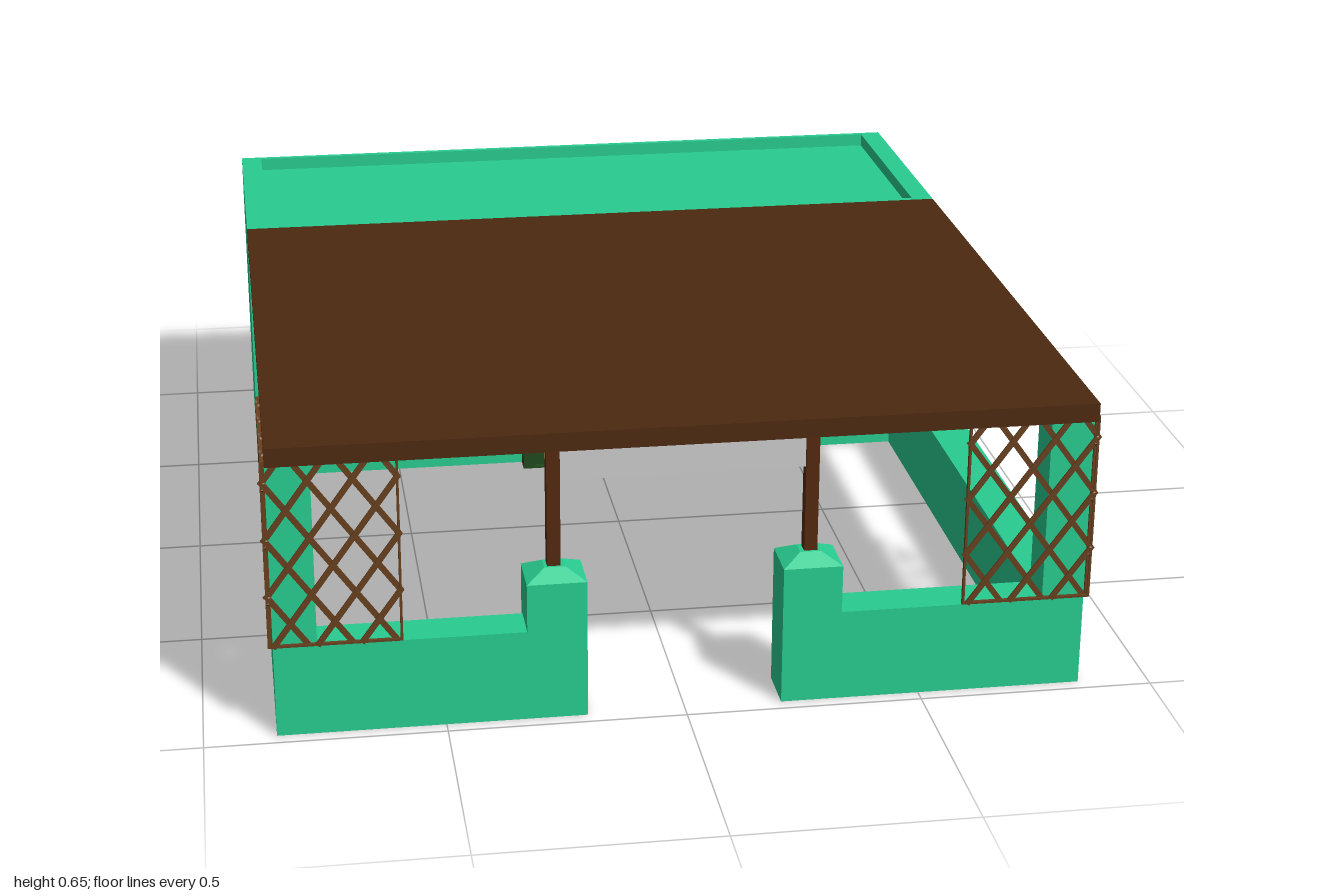
import * as THREE from 'three';

const mat = (color) => new THREE.MeshStandardMaterial({ color });
const M = {
  wall: mat(0x28cc90), roof: mat(0x4c290f), lattice: mat(0x68401f), post: mat(0x54290f),
  frame: mat(0x20491c), slat: mat(0x2a5722), dark: mat(0x10260e), glass: mat(0xb9c94c), grey: mat(0xcccccc),
};

// Box given by its minimum and maximum corners
function box(parent, name, m, [x0, y0, z0], [x1, y1, z1]) {
  const mesh = new THREE.Mesh(new THREE.BoxGeometry(x1 - x0, y1 - y0, z1 - z0), m);
  mesh.position.set((x0 + x1) / 2, (y0 + y1) / 2, (z0 + z1) / 2);
  mesh.name = name;
  parent.add(mesh);
  return mesh;
}

function group(parent, name) {
  const g = new THREE.Group();
  g.name = name;
  parent.add(g);
  return g;
}

// Flat frame in the xy plane with rectangular openings [x0, y0, x1, y1]
function pierced(parent, name, m, [x0, y0, x1, y1], openings, z, depth) {
  const rect = (T, a, b, c, d) => {
    const s = new T();
    s.moveTo(a, b).lineTo(c, b).lineTo(c, d).lineTo(a, d).closePath();
    return s;
  };
  const shape = rect(THREE.Shape, x0, y0, x1, y1);
  shape.holes = openings.map((o) => rect(THREE.Path, ...o));
  const mesh = new THREE.Mesh(new THREE.ExtrudeGeometry(shape, { depth, bevelEnabled: false }), m);
  mesh.position.z = z;
  mesh.name = name;
  parent.add(mesh);
}

// Trellis panel of crossed diagonal strips clipped to w by h, from the origin
function lattice(parent, name, w, h) {
  const g = group(parent, name);
  const k = 0.72, step = 0.09, t = 0.012, d = 0.008;
  for (const dir of [1, -1]) {
    for (let c = -k * h + step * 0.4; c < w; c += step) {
      const ya = Math.max(0, -c / k), yb = Math.min(h, (w - c) / k);
      if (yb - ya < 0.02) continue;
      const mid = c + (k * (ya + yb)) / 2;
      const len = (yb - ya) * Math.hypot(1, k);
      const strip = new THREE.Mesh(new THREE.BoxGeometry(t, len, d / 2), M.lattice);
      strip.position.set(dir > 0 ? mid : w - mid, (ya + yb) / 2, d / 2 + (dir * d) / 4);
      strip.rotation.z = -dir * Math.atan(k);
      strip.name = 'latticeStrip';
      g.add(strip);
    }
  }
  const e = 0.005;
  pierced(g, 'latticeEdge', M.lattice, [0, 0, w, h], [[e, e, w - e, h - e]], 0, d);
  return g;
}

// Louvred window centred on x
function shutterWindow(parent, x) {
  const g = group(parent, 'window');
  g.position.x = x;
  const cols = [[-0.148, -0.062], [-0.043, 0.043], [0.062, 0.148]];
  const y0 = 0.25, y1 = 0.48;
  box(g, 'windowBack', M.dark, [-0.18, 0.235, -0.4], [0.18, 0.495, -0.393]);
  pierced(g, 'windowFrame', M.frame, [-0.19, 0.225, 0.19, 0.505],
    cols.map(([a, b]) => [a, y0, b, y1]), -0.4, 0.03);
  const n = 6, pitch = (y1 - y0) / n;
  for (const [a, b] of cols) {
    for (let i = 0; i < n; i++) {
      const y = y0 + pitch * (i + 0.5);
      box(g, 'slat', M.slat, [a, y - 0.013, -0.394], [b, y + 0.013, -0.382]).rotation.x = -0.25;
    }
  }
}

export function createModel() {
  const model = new THREE.Group();
  model.name = 'porchHouse';

  // House block with a parapet round its sunken flat roof
  const house = group(model, 'house');
  box(house, 'houseBody', M.wall, [-0.85, 0, -1], [0.85, 0.62, -0.4]);
  for (const s of [-1, 1]) {
    box(house, 'sideParapet', M.wall, [Math.min(s * 0.8, s * 0.85), 0.62, -1], [Math.max(s * 0.8, s * 0.85), 0.65, -0.4]);
  }
  box(house, 'backParapet', M.wall, [-0.8, 0.62, -1], [0.8, 0.65, -0.985]);
  box(house, 'frontParapet', M.wall, [-0.8, 0.62, -0.415], [0.8, 0.65, -0.4]);

  // Porch roof slab
  box(model, 'porchRoof', M.roof, [-0.85, 0.61, -0.4], [0.85, 0.65, 1]);

  // Mirrored porch parts
  for (const s of [-1, 1]) {
    const side = group(model, s > 0 ? 'leftPorchSide' : 'rightPorchSide');
    const b = (name, m, xa, xb, y0, y1, z0, z1) =>
      box(side, name, m, [Math.min(s * xa, s * xb), y0, z0], [Math.max(s * xa, s * xb), y1, z1]);
    b('sideWall', M.wall, 0.76, 0.85, 0, 0.2, -0.4, 0.97);
    b('frontWall', M.wall, 0.33, 0.76, 0, 0.2, 0.88, 0.97);
    b('cornerColumn', M.wall, 0.76, 0.85, 0.2, 0.61, 0.88, 0.97);
    b('gatePillar', M.wall, 0.205, 0.33, 0, 0.305, 0.86, 0.97);

    // Sloped cap on the gate pillar
    const cap = new THREE.Mesh(new THREE.CylinderGeometry(0.03, Math.SQRT1_2, 1, 4, 1).rotateY(Math.PI / 4), M.wall);
    cap.geometry = new THREE.CylinderGeometry(0.25, Math.SQRT1_2, 1, 4, 1).rotateY(Math.PI / 4).toNonIndexed();
    cap.geometry.computeVertexNormals();
    cap.scale.set(0.125, 0.022, 0.11);
    cap.position.set(s * 0.2675, 0.316, 0.915);
    cap.name = 'pillarCap';
    side.add(cap);
    b('roofPost', M.post, 0.255, 0.283, 0.32, 0.61, 0.901, 0.929);

    // Trellises on the outer faces of the corner
    const front = lattice(side, 'frontLattice', 0.275, 0.41);
    front.position.set(s > 0 ? 0.585 : -0.86, 0.203, 0.97);
    const flank = lattice(side, 'sideLattice', 0.355, 0.41);
    flank.rotation.y = (s * Math.PI) / 2;
    flank.position.set(s * 0.85, 0.203, s > 0 ? 0.975 : 0.62);

    shutterWindow(model, s * 0.57);
  }

  // Blank board hung between the posts
  box(model, 'boardBack', M.post, [-0.255, 0.515, 0.905], [0.255, 0.61, 0.918]);
  box(model, 'boardFace', M.grey, [-0.255, 0.515, 0.918], [0.255, 0.605, 0.924]);

  // Door with six glass panes
  const door = group(model, 'door');
  const panes = [];
  for (const [a, b] of [[-0.137, -0.09], [-0.038, 0.035], [0.086, 0.135]]) {
    panes.push([a, 0.012, b, 0.187], [a, 0.235, b, 0.485]);
  }
  box(door, 'doorGlass', M.glass, [-0.155, 0.005, -0.4], [0.155, 0.5, -0.385]);
  pierced(door, 'doorPanel', M.frame, [-0.165, 0.002, 0.165, 0.52], panes, -0.395, 0.025);
  pierced(door, 'doorFrame', M.frame, [-0.19, 0, 0.19, 0.55], [[-0.162, 0.004, 0.162, 0.515]], -0.4, 0.045);
  for (const x of [-0.064, 0.06]) box(door, 'doorSeam', M.dark, [x - 0.004, 0.006, -0.372], [x + 0.004, 0.515, -0.367]);
  box(door, 'doorRail', M.dark, [-0.16, 0.205, -0.372], [0.16, 0.222, -0.364]);
  return model;
}
